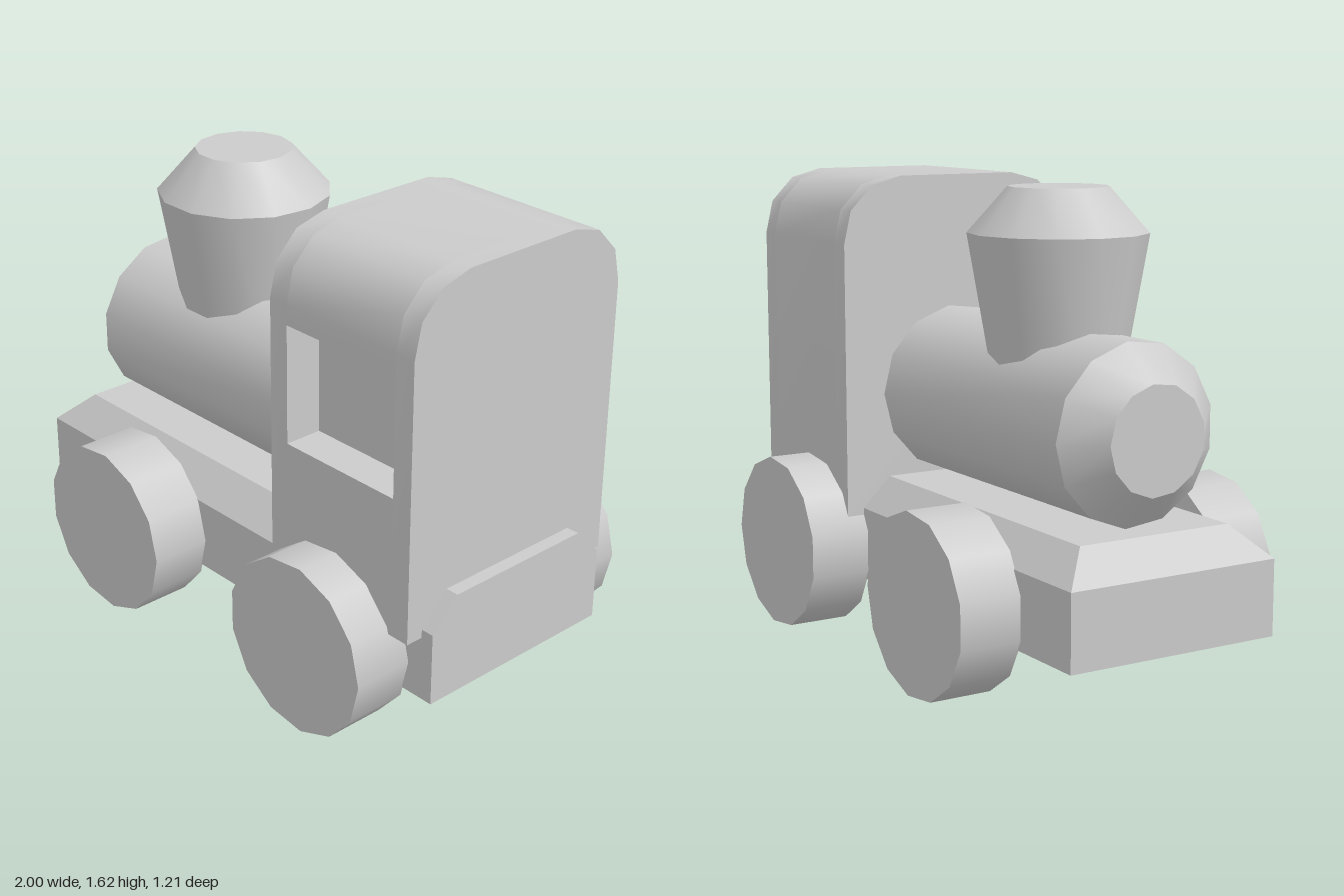
import * as THREE from 'three';
import { toCreasedNormals } from 'three/addons/utils/BufferGeometryUtils.js';

const SIDES = 13;
const CREASE = 0.7;
const material = new THREE.MeshStandardMaterial({ color: 0xcccccc });

function addMesh(parent, name, geometry) {
  const mesh = new THREE.Mesh(geometry, material);
  mesh.name = name;
  parent.add(mesh);
  return mesh;
}

// Closed solid of revolution around y, from [radius, height] pairs
function turned(profile) {
  const points = profile.map(([r, y]) => new THREE.Vector2(r, y));
  return toCreasedNormals(new THREE.LatheGeometry(points, SIDES, Math.PI), CREASE);
}

// Box whose upper part slopes in on the sides and the nose end
function chassisGeometry() {
  const box = new THREE.BoxGeometry(2, 2, 0.774, 1, 2, 1);
  const pos = box.attributes.position;
  const heights = [0.2, 0.455, 0.56];
  for (let i = 0; i < pos.count; i++) {
    const level = Math.round(pos.getY(i)) + 1;
    pos.setY(i, heights[level]);
    if (level === 2) {
      pos.setZ(i, Math.sign(pos.getZ(i)) * 0.282);
      if (pos.getX(i) < 0) pos.setX(i, -0.89);
    }
  }
  const flat = box.toNonIndexed();
  flat.computeVertexNormals();
  return flat;
}

// Slice of the cab between two x positions, optionally notched for the window
function cabSlice(x0, x1, notched) {
  const half = [[0.45, 0.425], [0.45, 1.39], [0.423, 1.505], [0.34, 1.59], [0.227, 1.62]];
  const notch = [[-0.45, 1.32], [-0.315, 1.32], [-0.315, 0.91], [-0.45, 0.91]];
  const mirrored = half.map(([z, y]) => [-z, y]).reverse();
  if (notched) mirrored.splice(4, 0, ...notch);
  const shape = new THREE.Shape([...half, ...mirrored].map(([z, y]) => new THREE.Vector2(z, y)));
  const geometry = new THREE.ExtrudeGeometry(shape, { depth: x1 - x0, bevelEnabled: false });
  geometry.rotateY(Math.PI / 2).translate(x0, 0, 0);
  return toCreasedNormals(geometry, CREASE);
}

export function createModel() {
  const model = new THREE.Group();
  model.name = 'toyTrain';

  addMesh(model, 'chassis', chassisGeometry());

  // Boiler lies along x with a bevelled nose
  const boiler = turned([[0, -0.9], [0.18, -0.9], [0.3, -0.78], [0.3, 0.33], [0, 0.33]]);
  boiler.rotateZ(-Math.PI / 2);
  addMesh(model, 'boiler', boiler).position.y = 0.857;

  // Flared chimney sunk into the boiler
  const chimney = turned([[0, 0.95], [0.212, 0.95], [0.301, 1.46], [0.168, 1.61], [0, 1.61]]);
  addMesh(model, 'chimney', chimney).position.x = -0.334;

  // Cab with a recessed window on the front side only
  const cab = new THREE.Group();
  cab.name = 'cab';
  addMesh(cab, 'cabFrontWall', cabSlice(0.32, 0.397, false));
  addMesh(cab, 'cabWindowSection', cabSlice(0.397, 0.878, true));
  addMesh(cab, 'cabRearWall', cabSlice(0.878, 0.953, false));
  model.add(cab);

  // Four wheels
  const wheel = new THREE.CylinderGeometry(0.307, 0.307, 0.22, SIDES, 1, false, Math.PI / 2);
  wheel.rotateX(Math.PI / 2);
  for (const [end, x] of [['nose', -0.421], ['cab', 0.591]]) {
    for (const [side, z] of [['Front', 0.493], ['Back', -0.493]]) {
      addMesh(model, `${end}Wheel${side}`, wheel).position.set(x, 0.306, z);
    }
  }
  return model;
}
